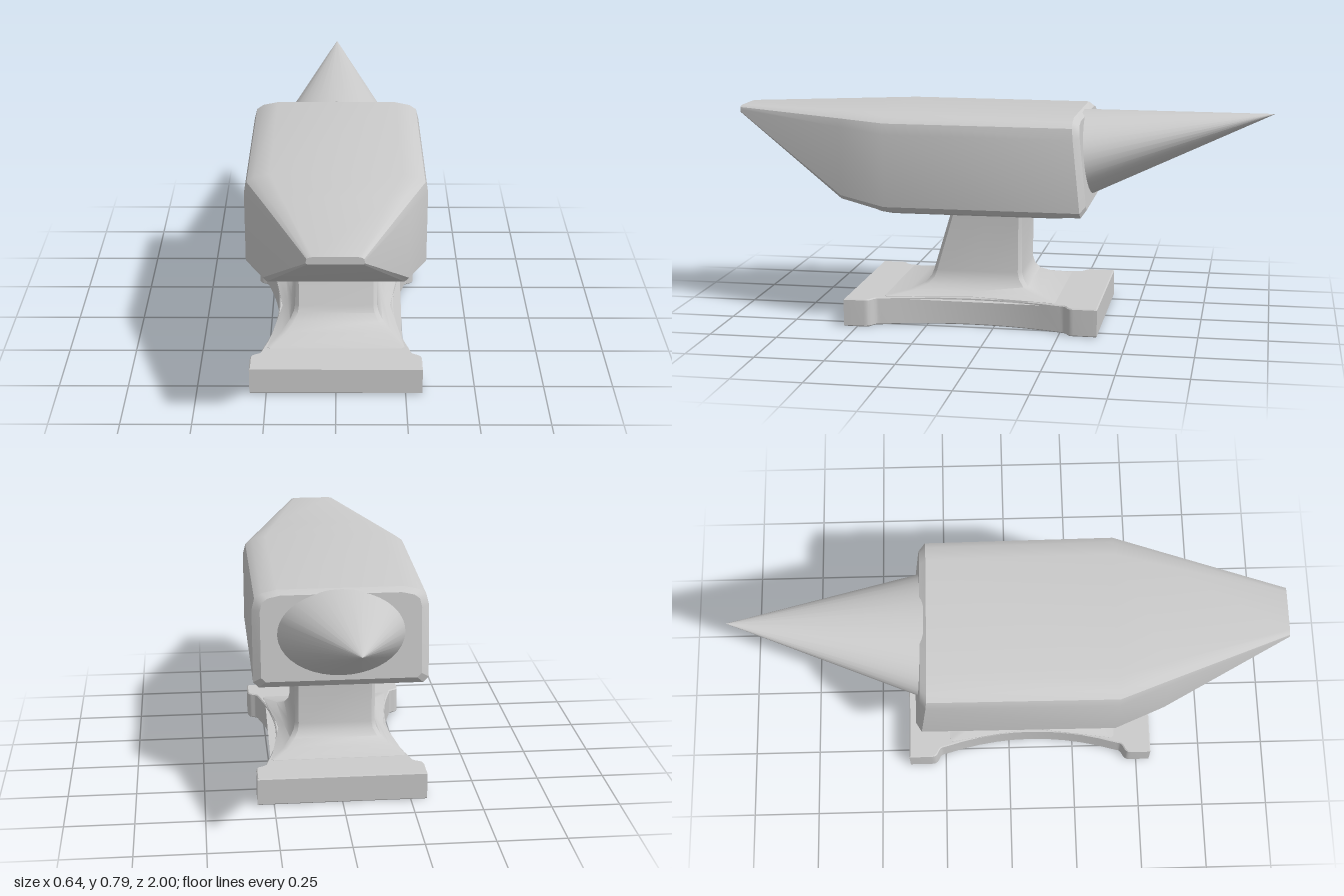
import * as THREE from 'three';
import { toCreasedNormals } from 'three/addons/utils/BufferGeometryUtils.js';

const material = new THREE.MeshStandardMaterial({ color: 0xcccccc });

function part(name, geometry) {
  const mesh = new THREE.Mesh(geometry, material);
  mesh.name = name;
  return mesh;
}

// Skin a list of equal-length rings (counter-clockwise about the direction of travel), capped at both ends.
function loft(rings, crease) {
  const n = rings[0].length;
  const positions = [];
  const tri = (...points) => points.forEach((p) => positions.push(...p));
  for (let r = 0; r < rings.length - 1; r++) {
    const a = rings[r], b = rings[r + 1];
    for (let i = 0; i < n; i++) {
      const j = (i + 1) % n;
      tri(a[i], a[j], b[j]);
      tri(a[i], b[j], b[i]);
    }
  }
  const first = rings[0], last = rings[rings.length - 1];
  for (let i = 1; i < n - 1; i++) {
    tri(first[0], first[i + 1], first[i]);
    tri(last[0], last[i], last[i + 1]);
  }
  const geometry = new THREE.BufferGeometry();
  geometry.setAttribute('position', new THREE.Float32BufferAttribute(positions, 3));
  return toCreasedNormals(geometry, crease);
}

// Upright section of the body: half width w, bottom b, top t, corner scale s, lean of the end face.
function bodyRing({ z, w, b, t, s = 1, lean = 0 }) {
  const half = [
    [w - 0.02 * s, b],
    [w, b + 0.02 * s],
    [w, t - 0.07 * s],
    [w - 0.01 * s, t - 0.03 * s],
    [w - 0.035 * s, t - 0.012 * s],
    [w - 0.09 * s, t],
  ];
  const mirrored = half.map(([x, y]) => [-x, y]).reverse();
  return [...half, ...mirrored].map(([x, y]) => [x, y, z + (y - 0.61) * lean]);
}

// Level section of the waist: chamfered rectangle whose sides may be pinched in at the middle.
function waistRing([y, w, front, back, c, pinch]) {
  const mid = (front + back) / 2;
  const right = [
    [w - c, front],
    [w, front - c],
    [w - pinch, mid],
    [w, back + c],
    [w - c, back],
  ];
  const left = right.map(([x, z]) => [-x, z]).reverse();
  return [...right, ...left].map(([x, z]) => [x, y, z]);
}

// Foot plate with four toes and hollowed sides; shape y is -z.
function buildBase() {
  const e = 0.004;
  const shape = new THREE.Shape();
  shape.moveTo(-0.31 + e, -0.55 + e);
  shape.lineTo(0.31 - e, -0.55 + e);
  shape.lineTo(0.31 - e, -0.475);
  shape.bezierCurveTo(0.306, -0.44, 0.27, -0.46, 0.266, -0.42);
  shape.quadraticCurveTo(0.16, -0.085, 0.266, 0.25);
  shape.bezierCurveTo(0.27, 0.29, 0.306, 0.27, 0.31 - e, 0.305);
  shape.lineTo(0.31 - e, 0.39 - e);
  shape.lineTo(-0.31 + e, 0.39 - e);
  shape.lineTo(-0.31 + e, 0.305);
  shape.bezierCurveTo(-0.306, 0.27, -0.27, 0.29, -0.266, 0.25);
  shape.quadraticCurveTo(-0.16, -0.085, -0.266, -0.42);
  shape.bezierCurveTo(-0.27, -0.46, -0.306, -0.44, -0.31 + e, -0.475);
  const geometry = new THREE.ExtrudeGeometry(shape, {
    depth: 0.104 - 2 * e, bevelThickness: e, bevelSize: e, bevelSegments: 1, curveSegments: 10,
  });
  geometry.rotateX(-Math.PI / 2).translate(0, e, 0);
  return part('base', toCreasedNormals(geometry, 0.5));
}

// Waist flaring out to the foot below and to the underside of the body above.
function buildWaist() {
  const rings = [
    // y, half width, front z, back z, chamfer, pinch
    [0.095, 0.252, 0.41, -0.235, 0.01, 0.045],
    [0.105, 0.25, 0.41, -0.23, 0.01, 0.045],
    [0.12, 0.2, 0.325, -0.165, 0.015, 0.015],
    [0.14, 0.172, 0.275, -0.115, 0.015, 0.003],
    [0.165, 0.157, 0.253, -0.097, 0.015, 0],
    [0.19, 0.152, 0.243, -0.09, 0.014, 0],
    [0.4, 0.151, 0.18, -0.09, 0.012, 0],
    [0.407, 0.17, 0.21, -0.115, 0.015, 0],
    [0.415, 0.21, 0.275, -0.18, 0.02, 0],
    [0.424, 0.265, 0.385, -0.265, 0.02, 0],
    [0.436, 0.297, 0.42, -0.292, 0.02, 0],
    [0.446, 0.297, 0.42, -0.292, 0.02, 0],
  ];
  return part('waist', loft(rings.map(waistRing), 0.6));
}

// Body with a bevelled back end and a heel tapering to a blunt front edge.
function buildBody() {
  const rings = [
    { z: -0.33, w: 0.288, b: 0.46, t: 0.772, s: 0.8, lean: 0.1 },
    { z: -0.308, w: 0.316, b: 0.434, t: 0.787, lean: 0.1 },
    { z: 0.39, w: 0.32, b: 0.436, t: 0.79 },
    { z: 0.57, w: 0.252, b: 0.467, t: 0.788, s: 0.75 },
    { z: 1.0, w: 0.092, b: 0.758, t: 0.784, s: 0.22 },
  ];
  return part('body', loft(rings.map(bodyRing), 0.45));
}

// Horn: an elliptical cone sheared so that its upper line stays level with the face.
function buildHorn() {
  const baseZ = -0.3, length = 0.7, centre = 0.621, tip = 0.785;
  const geometry = new THREE.ConeGeometry(1, length, 40, 1);
  geometry.rotateX(-Math.PI / 2);
  geometry.scale(0.238, 0.164, 1);
  geometry.translate(0, centre, baseZ - length / 2);
  const p = geometry.attributes.position;
  for (let i = 0; i < p.count; i++) {
    const t = (baseZ - p.getZ(i)) / length;
    p.setY(i, p.getY(i) + t * (tip - centre));
  }
  return part('horn', toCreasedNormals(geometry, 0.6));
}

export function createModel() {
  const model = new THREE.Group();
  model.name = 'anvil';
  model.add(buildBase(), buildWaist(), buildBody(), buildHorn());
  return model;
}
